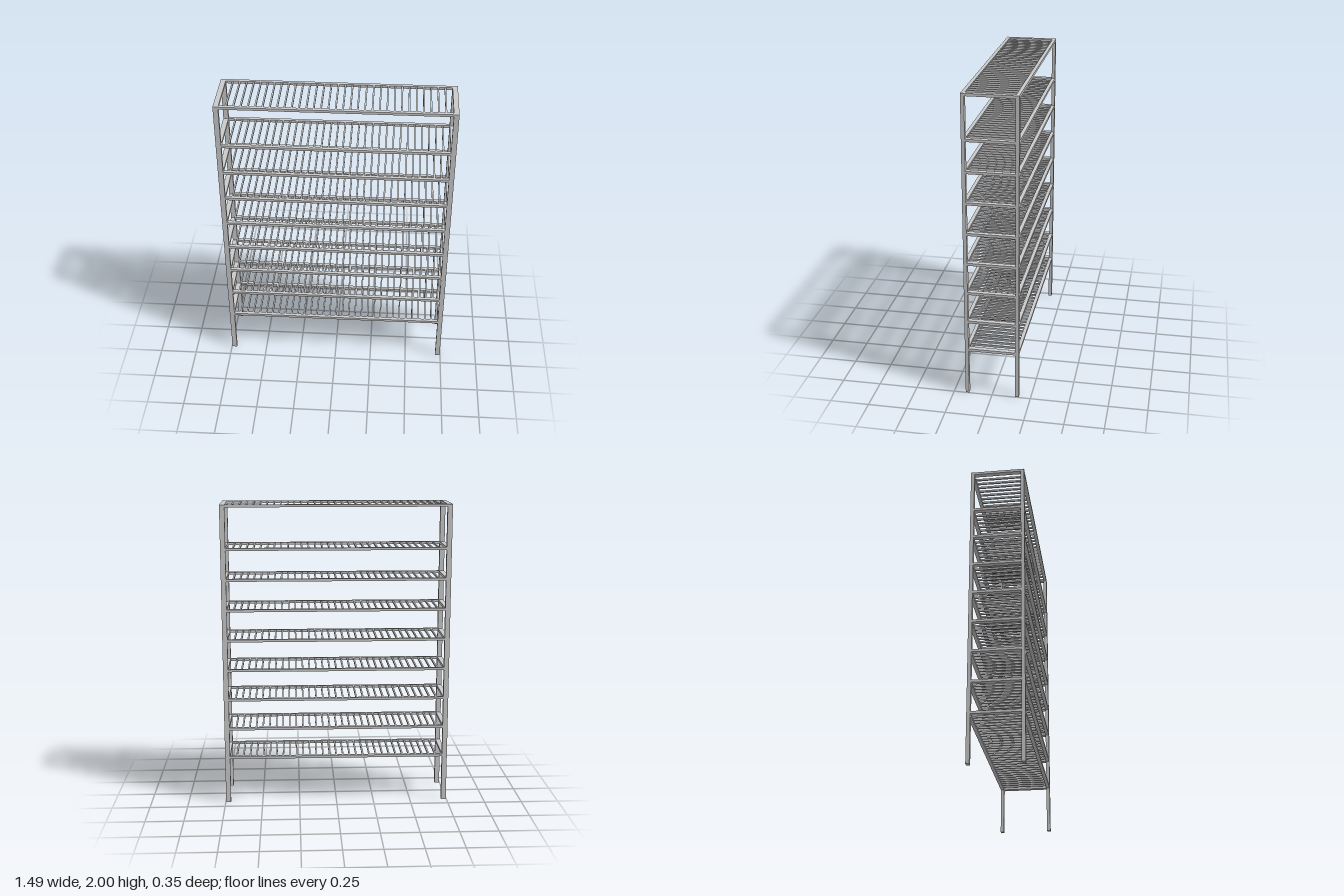
import * as THREE from 'three';

export function createModel() {
  const group = new THREE.Group();
  group.name = 'slattedRack';
  const material = new THREE.MeshStandardMaterial({ color: 0xcccccc });

  const halfW = 0.747, halfD = 0.174, height = 2;
  const postW = 0.033, postD = 0.023, railH = 0.017;
  const innerW = 2 * (halfW - postW), innerD = 2 * (halfD - postD);

  const box = (parent, name, w, h, d, x, y, z) => {
    const mesh = new THREE.Mesh(new THREE.BoxGeometry(w, h, d), material);
    mesh.name = name;
    mesh.position.set(x, y, z);
    parent.add(mesh);
  };
  const postX = halfW - postW / 2, postZ = halfD - postD / 2;

  // Four corner posts
  for (const sx of [-1, 1]) for (const sz of [-1, 1]) {
    const name = (sz > 0 ? 'front' : 'back') + (sx > 0 ? 'Left' : 'Right') + 'Post';
    box(group, name, postW, height, postD, sx * postX, height / 2, sz * postZ);
  }

  // One shelf: rails between the posts and a row of thin slats
  const slatCount = 31, pitch = innerW / (slatCount + 1);
  const addShelf = (name, y) => {
    const shelf = new THREE.Group();
    shelf.name = name;
    shelf.position.y = y;
    for (const s of [-1, 1]) {
      box(shelf, s > 0 ? 'frontRail' : 'backRail', innerW, railH, postD, 0, 0, s * postZ);
      box(shelf, s > 0 ? 'leftRail' : 'rightRail', postW, railH, innerD, s * postX, 0, 0);
    }
    for (let i = 1; i <= slatCount; i++) {
      box(shelf, 'slat', 0.01, 0.012, innerD, -innerW / 2 + i * pitch, 0, 0);
    }
    group.add(shelf);
  };

  // Eight evenly spaced shelves and the top
  for (let i = 0; i < 8; i++) addShelf('shelf' + (i + 1), 0.314 + i * 0.2);
  addShelf('topShelf', height - railH / 2);

  return group;
}
